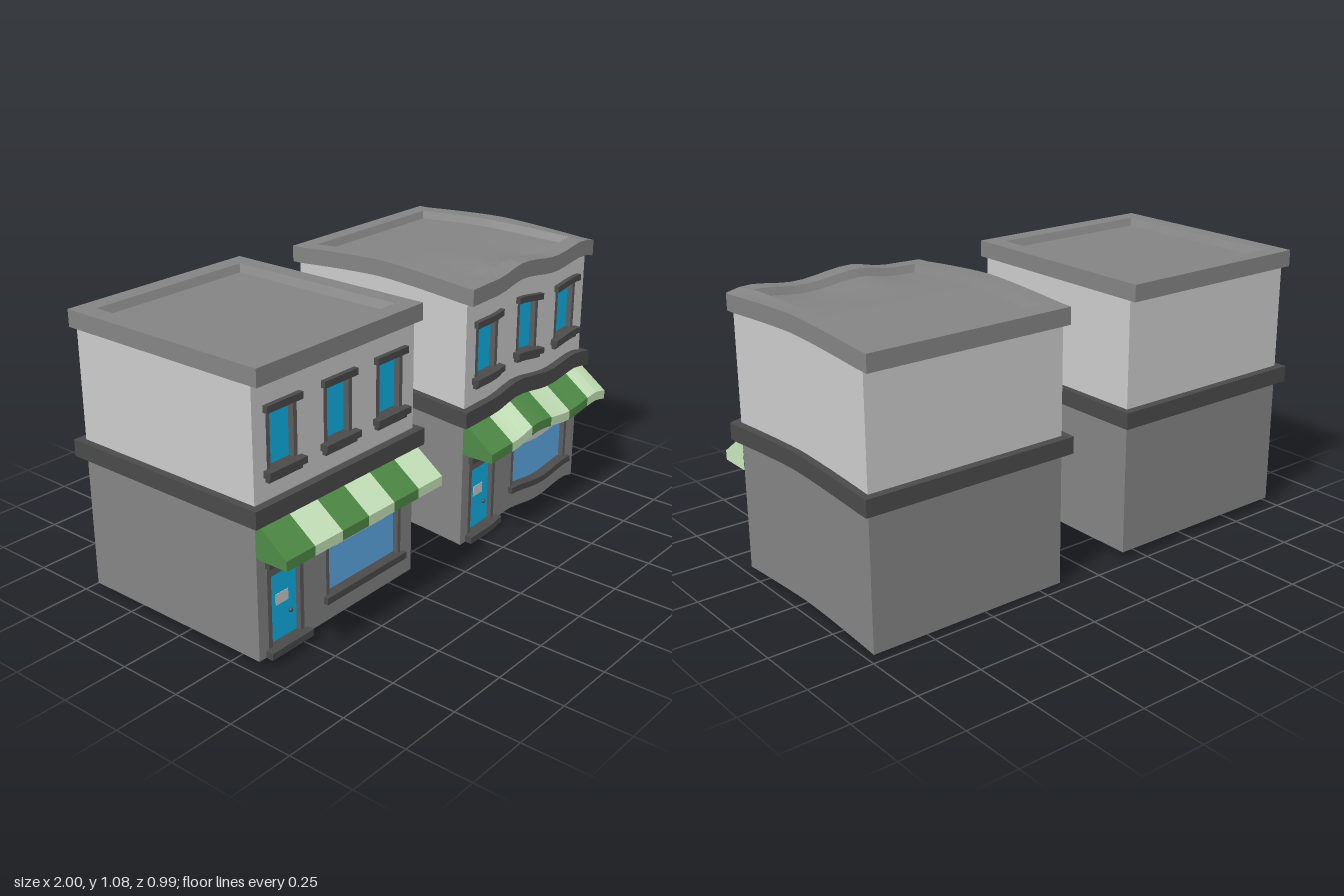
import * as THREE from 'three';

const CZ = -0.05, HX = 0.407, HZ = 0.41, FRONT = CZ + HZ;
const COL = {
  wall: 0xcccccc, stone: 0x848484, trim: 0x4a4a4a, jamb: 0x5c5c5c, blue: 0x0fb4e8,
  glass: 0x60acea, dark: 0x1c1c1c, plate: 0xc4c4c4, green: 0x4f8b47, pale: 0xc8e6bc,
};

// Front-edge sag of the crooked shop along x, joined with smooth steps
const SAG = [[-0.45, -0.03], [-0.26, -0.026], [-0.09, 0], [0.14, -0.025], [0.335, -0.006], [0.44, -0.024]];
function sag(x) {
  if (x <= SAG[0][0]) return SAG[0][1];
  for (let i = 1; i < SAG.length; i++) {
    const [x0, y0] = SAG[i - 1], [x1, y1] = SAG[i];
    if (x <= x1) return THREE.MathUtils.lerp(y0, y1, THREE.MathUtils.smoothstep(x, x0, x1));
  }
  return SAG[SAG.length - 1][1];
}
function bend(geo) {
  const p = geo.attributes.position;
  for (let i = 0; i < p.count; i++) {
    const t = THREE.MathUtils.clamp((p.getZ(i) - CZ) / HZ, -1, 1);
    const w = Math.abs(t) ** 1.4;
    p.setY(i, p.getY(i) + w * (t > 0 ? sag(p.getX(i)) : -0.025));
  }
}

// Flat-faced surface from rows of points; skip(centre) leaves openings
function surface(rows, skip) {
  const pos = [];
  for (let j = 0; j + 1 < rows.length; j++) {
    for (let i = 0; i + 1 < rows[j].length; i++) {
      const a = rows[j][i], b = rows[j][i + 1], c = rows[j + 1][i + 1], d = rows[j + 1][i];
      if (skip && skip((a[0] + c[0]) / 2, (a[1] + c[1]) / 2)) continue;
      pos.push(...a, ...b, ...c, ...a, ...c, ...d);
    }
  }
  const g = new THREE.BufferGeometry();
  g.setAttribute('position', new THREE.Float32BufferAttribute(pos, 3));
  return g;
}

// Rectangular rings [halfX, halfZ, y] joined in order, running around from the front left corner
function rings(profile, firstSide = 0, n = 16) {
  const corners = [[-1, 1], [1, 1], [1, -1], [-1, -1], [-1, 1]];
  return surface(profile.map(([hx, hz, y]) => {
    const row = [];
    for (let s = firstSide; s < 4; s++) {
      for (let k = s === firstSide ? 0 : 1; k <= n; k++) {
        const f = k / n, a = corners[s], b = corners[s + 1];
        row.push([hx * (a[0] + (b[0] - a[0]) * f), y, CZ + hz * (a[1] + (b[1] - a[1]) * f)]);
      }
    }
    return row;
  }));
}

// Sorted break points with extra steps between them
function steps(list, size) {
  const s = [...new Set(list)].sort((a, b) => a - b), out = [s[0]];
  for (let i = 1; i < s.length; i++) {
    const n = Math.max(1, Math.ceil((s[i] - s[i - 1]) / size));
    for (let k = 1; k <= n; k++) out.push(s[i - 1] + (s[i] - s[i - 1]) * k / n);
  }
  return out;
}

function createShop(crooked) {
  const shop = new THREE.Group();
  const add = (name, color, geo, side = THREE.FrontSide) => {
    const g = geo.index ? geo.toNonIndexed() : geo;
    if (crooked) bend(g);
    g.computeVertexNormals();
    const m = new THREE.Mesh(g, new THREE.MeshStandardMaterial({ color, side }));
    m.name = name;
    shop.add(m);
  };
  const box = (name, color, x, w, y0, y1, z0, z1) => {
    const g = new THREE.BoxGeometry(w, y1 - y0, z1 - z0, Math.max(1, Math.round(w / 0.035)), 1, 1);
    add(name, color, g.translate(x, (y0 + y1) / 2, (z0 + z1) / 2));
  };

  // Openings: centre x, half width, bottom, top
  const upper = [-0.273, 0, 0.272].map((x) => [x, 0.072, 0.7, 0.925]);
  const door = [-0.272, 0.088, 0.04, 0.377], display = [0.137, 0.206, 0.118, 0.377];
  const openings = [...upper, door, display];
  const skip = (x, y) => openings.some(([c, h, b, t]) => Math.abs(x - c) < h && y > b && y < t);

  // Walls, open at the bottom
  for (const [name, color, y0, y1] of [['lowerWall', COL.stone, 0.03, 0.575], ['upperWall', COL.wall, 0.575, 1.03]]) {
    const own = openings.filter((o) => o[2] > y0 && o[3] < y1);
    const xs = steps([-HX, HX, ...own.flatMap(([c, h]) => [c - h, c + h])], 0.04);
    const ys = steps([y0, y1, ...own.flatMap((o) => [o[2], o[3]])], 1);
    add(name + 'Front', color, surface(ys.map((y) => xs.map((x) => [x, y, FRONT])), skip), THREE.DoubleSide);
    add(name, color, rings([[HX, HZ, y0], [HX, HZ, y1]], 1), THREE.DoubleSide);
  }

  // Belt course between the storeys
  add('belt', COL.trim, rings([[HX, HZ, 0.543], [0.435, 0.4425, 0.543], [0.435, 0.4425, 0.607], [HX, HZ, 0.607]]));

  // Cornice with a sunken roof
  add('cornice', COL.stone, rings([[HX, HZ, 1.02], [0.414, 0.4425, 1.02], [0.414, 0.4425, 1.084],
    [0.345, 0.373, 1.084], [0.33, 0.358, 1.055]]));
  const across = steps([-0.33, 0.33], 0.042), back = steps([-0.358, 0.358], 0.045);
  add('roof', COL.stone, surface(back.map((z) => across.map((x) => [x, 1.055, CZ - z]))), THREE.DoubleSide);

  // Jambs and lintel shared by every opening
  const frame = (name, [x, h, b, t], jamb, lintel) => {
    for (const s of [-1, 1]) box(name + 'Jamb', COL.jamb, x + s * (h - jamb / 2), jamb, b, t, 0.325, FRONT);
    box(name + 'Lintel', COL.trim, x, lintel, t - 0.012, t + 0.013, 0.325, 0.379);
  };

  // Upper windows with stepped sills
  for (const o of upper) {
    const x = o[0];
    frame('window', o, 0.017, 0.168);
    box('windowPane', COL.blue, x, 0.112, o[2], o[3], 0.325, 0.337);
    box('windowSill', COL.trim, x, 0.178, 0.69, 0.714, 0.325, 0.39);
    box('windowSillBase', COL.trim, x, 0.16, 0.672, 0.69, 0.345, 0.376);
  }

  // Door with transom, plate, knob and step
  frame('door', door, 0.018, 0.19);
  box('door', COL.blue, door[0], 0.142, 0.05, 0.31, 0.325, 0.34);
  box('doorTransom', COL.jamb, door[0], 0.142, 0.31, 0.37, 0.325, 0.342);
  box('doorPlate', COL.plate, door[0], 0.06, 0.19, 0.232, 0.34, 0.342);
  add('doorKnob', COL.trim, new THREE.SphereGeometry(0.008, 8, 6).translate(door[0] + 0.035, 0.147, 0.347));
  box('doorStep', COL.trim, door[0], 0.205, 0.03, 0.056, 0.325, 0.39);

  // Display window with blank sign
  frame('displayWindow', display, 0.016, 0.44);
  box('displayGlass', COL.glass, display[0], 0.38, 0.118, 0.377, 0.332, 0.338);
  box('displayBacking', COL.dark, display[0], 0.412, 0.115, 0.38, 0.325, 0.332);
  box('displaySign', COL.plate, display[0], 0.27, 0.291, 0.345, 0.338, 0.341);
  box('displaySill', COL.trim, display[0], 0.44, 0.105, 0.131, 0.325, 0.379);

  // Striped awning with a hanging valance and closed ends
  const w = 0.136, drop = [[0.42, 0.495], [0.457, 0.495], [0.555, FRONT]];
  for (let i = 0; i < 6; i++) {
    const x0 = -3 * w + i * w, xs = steps([x0, x0 + w], 0.035);
    add('awningStripe', i % 2 ? COL.pale : COL.green,
      surface(drop.map(([y, z]) => xs.map((x) => [x, y, z]))), THREE.DoubleSide);
  }
  for (const s of [-1, 1]) {
    const x = s * 3 * w;
    add('awningEnd', s < 0 ? COL.green : COL.pale, surface([
      [[x, 0.42, 0.495], [x, 0.42, FRONT]], [[x, 0.457, 0.495], [x, 0.555, FRONT]],
    ]), THREE.DoubleSide);
  }
  return shop;
}

export function createModel() {
  const model = new THREE.Group();
  const straight = createShop(false), crooked = createShop(true);
  straight.name = 'straightShop';
  crooked.name = 'crookedShop';
  straight.position.x = -0.565;
  crooked.position.x = 0.565;
  model.add(straight, crooked);
  return model;
}
